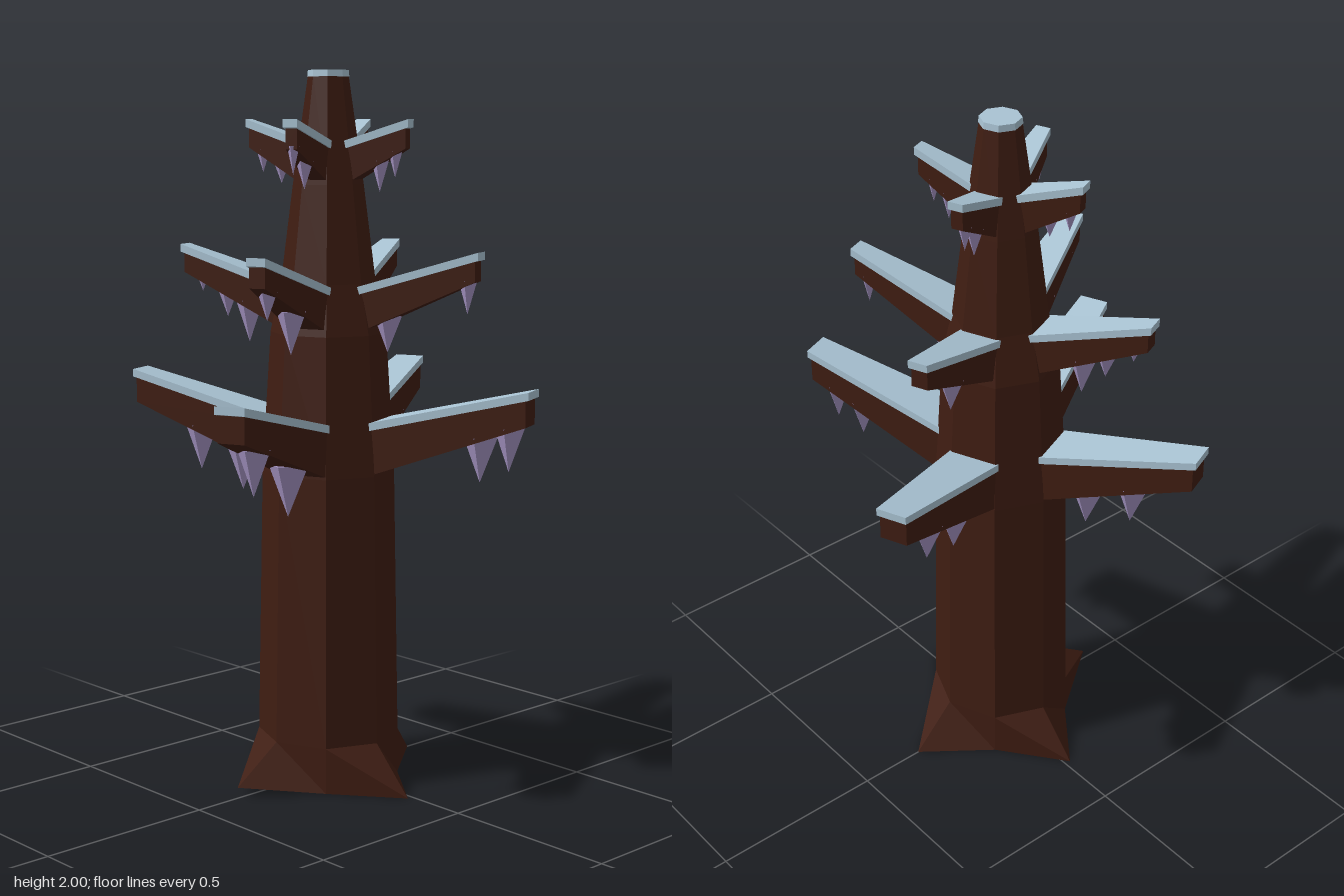
import * as THREE from 'three';

const flat = (color) => new THREE.MeshStandardMaterial({ color, flatShading: true, roughness: 0.9 });

export function createModel() {
  const bark = flat(0x3f1d12);
  const snow = flat(0xa9c3d3);
  const ice = flat(0xa695c4);

  const tree = new THREE.Group();
  tree.name = 'tree';
  tree.position.x = -0.017;

  const add = (parent, name, geometry, material) => {
    const mesh = new THREE.Mesh(geometry, material);
    mesh.name = name;
    parent.add(mesh);
    return mesh;
  };

  // Beam along +z between two cross-sections given as { z, w, lo, hi }
  const beam = (a, b) => {
    const g = new THREE.BoxGeometry(1, 1, 1);
    const p = g.attributes.position;
    for (let i = 0; i < p.count; i++) {
      const end = p.getZ(i) < 0 ? a : b;
      p.setXYZ(i, p.getX(i) * end.w, p.getY(i) < 0 ? end.lo : end.hi, end.z);
    }
    g.computeVertexNormals();
    return g;
  };

  // Eight-sided trunk whose bottom ring is pulled out into four root points
  const profile = [
    [0, 0], [0.2, 0], [0.2, 0.13], [0.186, 0.89], [0.162, 1.28],
    [0.132, 1.42], [0.098, 1.69], [0.056, 1.985],
  ].map(([r, y]) => new THREE.Vector2(r, y));
  const trunk = new THREE.LatheGeometry(profile, 8);
  const pos = trunk.attributes.position;
  for (let i = 0; i < pos.count; i++) {
    const x = pos.getX(i), z = pos.getZ(i);
    const onAxis = Math.min(Math.abs(x), Math.abs(z)) < 0.01;
    if (pos.getY(i) === 0 && Math.hypot(x, z) > 0.1 && onAxis) {
      const leftRoot = x < -0.1;
      const s = leftRoot ? 1.72 : 1.625;
      pos.setXYZ(i, x * s, leftRoot ? 0.03 : 0, z * s);
    }
  }
  trunk.computeVertexNormals();
  add(tree, 'trunk', trunk, bark);

  // Snow on the cut top
  add(tree, 'snowCap', new THREE.CylinderGeometry(0.056, 0.058, 0.018, 8), snow).position.y = 1.991;

  // Branch tiers; icicles per branch (front, left, back, right) as [distance, tip height]
  const tiers = [
    {
      root: { z: 0.15, w: 0.142, lo: 0.89, hi: 1.02 }, tip: { z: 0.597, w: 0.078, lo: 1.05, hi: 1.128 },
      icicles: [
        [[0.538, 0.92], [0.455, 0.885]], [[0.283, 0.82], [0.43, 0.88]],
        [[0.27, 0.81], [0.405, 0.86]], [[0.47, 0.89], [0.263, 0.8]],
      ],
    },
    {
      root: { z: 0.1, w: 0.115, lo: 1.28, hi: 1.39 }, tip: { z: 0.443, w: 0.046, lo: 1.434, hi: 1.495 },
      icicles: [
        [[0.414, 1.345], [0.18, 1.23]], [[0.285, 1.275]],
        [[0.246, 1.24], [0.315, 1.31], [0.395, 1.38]], [[0.385, 1.345], [0.242, 1.24]],
      ],
    },
    {
      root: { z: 0.065, w: 0.072, lo: 1.69, hi: 1.79 }, tip: { z: 0.236, w: 0.033, lo: 1.788, hi: 1.848 },
      icicles: [
        [[0.2, 1.71], [0.155, 1.67]], [[0.197, 1.71], [0.148, 1.67]],
        [[0.143, 1.69], [0.2, 1.72]], [[0.225, 1.72], [0.155, 1.68]],
      ],
    },
  ];

  tiers.forEach(({ root, tip, icicles }) => icicles.forEach((drops, k) => {
    const branch = new THREE.Group();
    branch.name = 'branch';
    branch.rotation.y = Math.PI / 8 + k * Math.PI / 2;
    tree.add(branch);

    add(branch, 'branchWood', beam(root, tip), bark);

    // Thin snow layer overhanging the wood a little
    const layer = (s, dz) => ({ z: s.z + dz, w: s.w + 0.009, lo: s.hi - 0.003, hi: s.hi + 0.019 });
    add(branch, 'branchSnow', beam(layer(root, 0), layer(tip, 0.009)), snow);

    // Pyramid icicles under the branch
    drops.forEach(([z, tipY]) => {
      const t = (z - root.z) / (tip.z - root.z);
      const under = THREE.MathUtils.lerp(root.lo, tip.lo, t);
      const top = under + 0.015;
      const h = top - tipY;
      const width = THREE.MathUtils.lerp(root.w, tip.w, t);
      const cone = new THREE.ConeGeometry(Math.min(h * 0.42, width * 0.52), h, 4);
      cone.rotateX(Math.PI);
      add(branch, 'icicle', cone, ice).position.set(0, top - h / 2, z);
    });
  }));

  const model = new THREE.Group();
  model.name = 'snowyTree';
  model.add(tree);
  return model;
}
